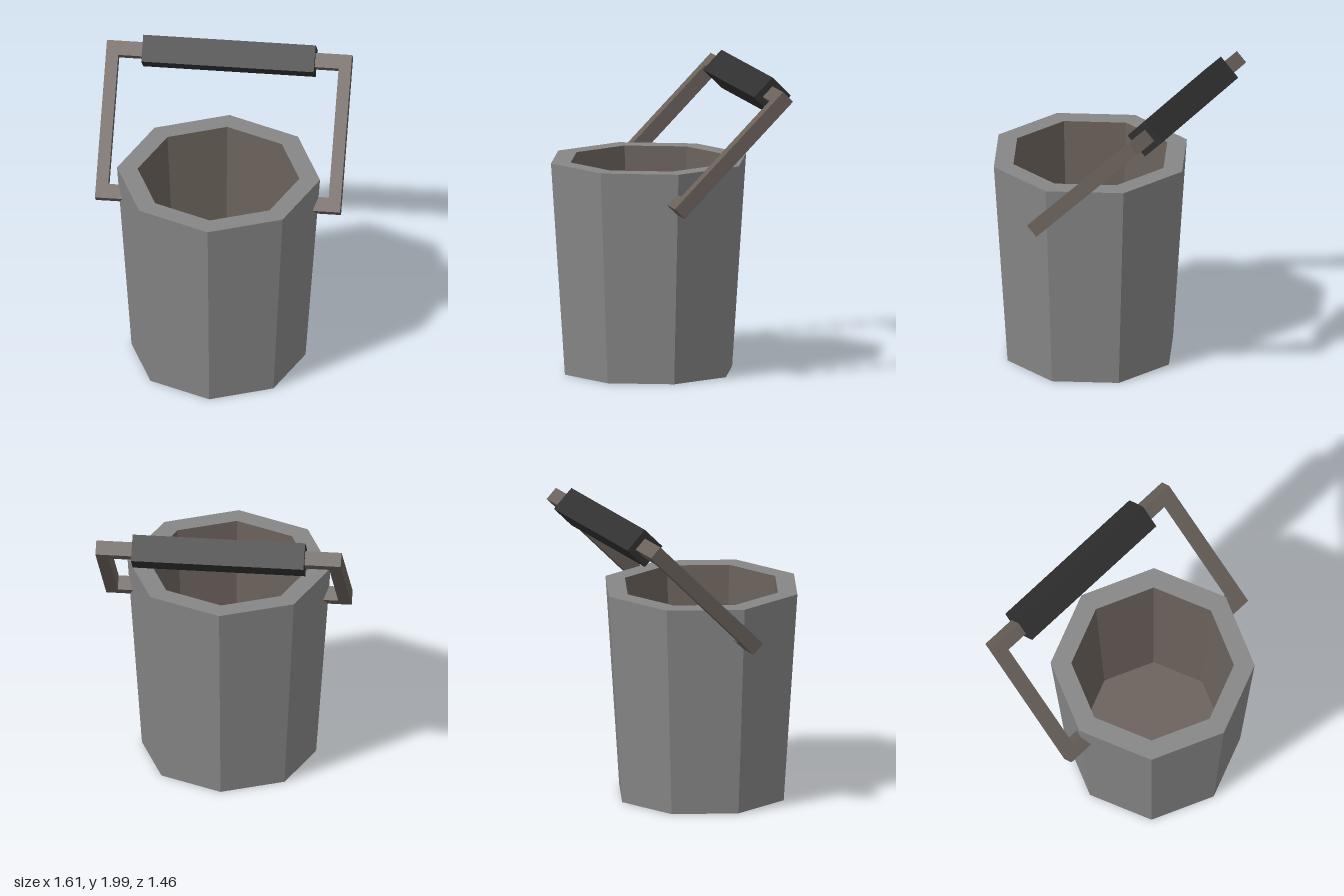
import * as THREE from 'three';

const material = (name, color, side = THREE.FrontSide) => {
  const m = new THREE.MeshStandardMaterial({ color, flatShading: true, side });
  m.name = name;
  return m;
};

export function createModel() {
  const model = new THREE.Group();
  model.name = 'bucket';
  const grey = material('grey shell', 0x868686);
  const brown = material('warm brown', 0x6a615b);
  const black = material('black grip', 0x303030);
  const centreZ = 0.064;

  // Eight-sided parts of the bucket, turned from a profile
  const turned = (name, profile, mat) => {
    const points = profile.map(([r, y]) => new THREE.Vector2(r, y));
    const mesh = new THREE.Mesh(new THREE.LatheGeometry(points, 8), mat);
    mesh.name = name;
    mesh.position.z = centreZ;
    model.add(mesh);
  };
  turned('outerShellAndRim', [[0, 0], [0.57, 0], [0.665, 1.4], [0.53, 1.4]], grey);
  turned('innerLining', [[0.53, 1.4], [0.45, 0.2], [0, 0.2]], brown);

  // Handle, built upright around its pivot and tilted back
  const handle = new THREE.Group();
  handle.name = 'handle';
  handle.position.set(0, 1.197, centreZ);
  handle.rotation.x = -Math.PI / 4;
  model.add(handle);

  const bar = 0.095, reach = 0.949, inner = 0.722, outer = 0.803;
  const box = (name, w, h, d, x, y, mat) => {
    const mesh = new THREE.Mesh(new THREE.BoxGeometry(w, h, d), mat);
    mesh.name = name;
    mesh.position.set(x, y, 0);
    handle.add(mesh);
  };
  for (const [side, s] of [['left', 1], ['right', -1]]) {
    box(side + 'Arm', outer - inner, reach + bar, bar, s * (inner + outer) / 2, reach / 2, brown);
    box(side + 'PivotPeg', inner - 0.58, bar, bar, s * (inner + 0.58) / 2, 0, brown);
  }
  box('crossbar', inner * 2, bar, bar, 0, reach, brown);
  box('grip', 1.13, 0.178, 0.178, 0, reach, black);

  return model;
}
